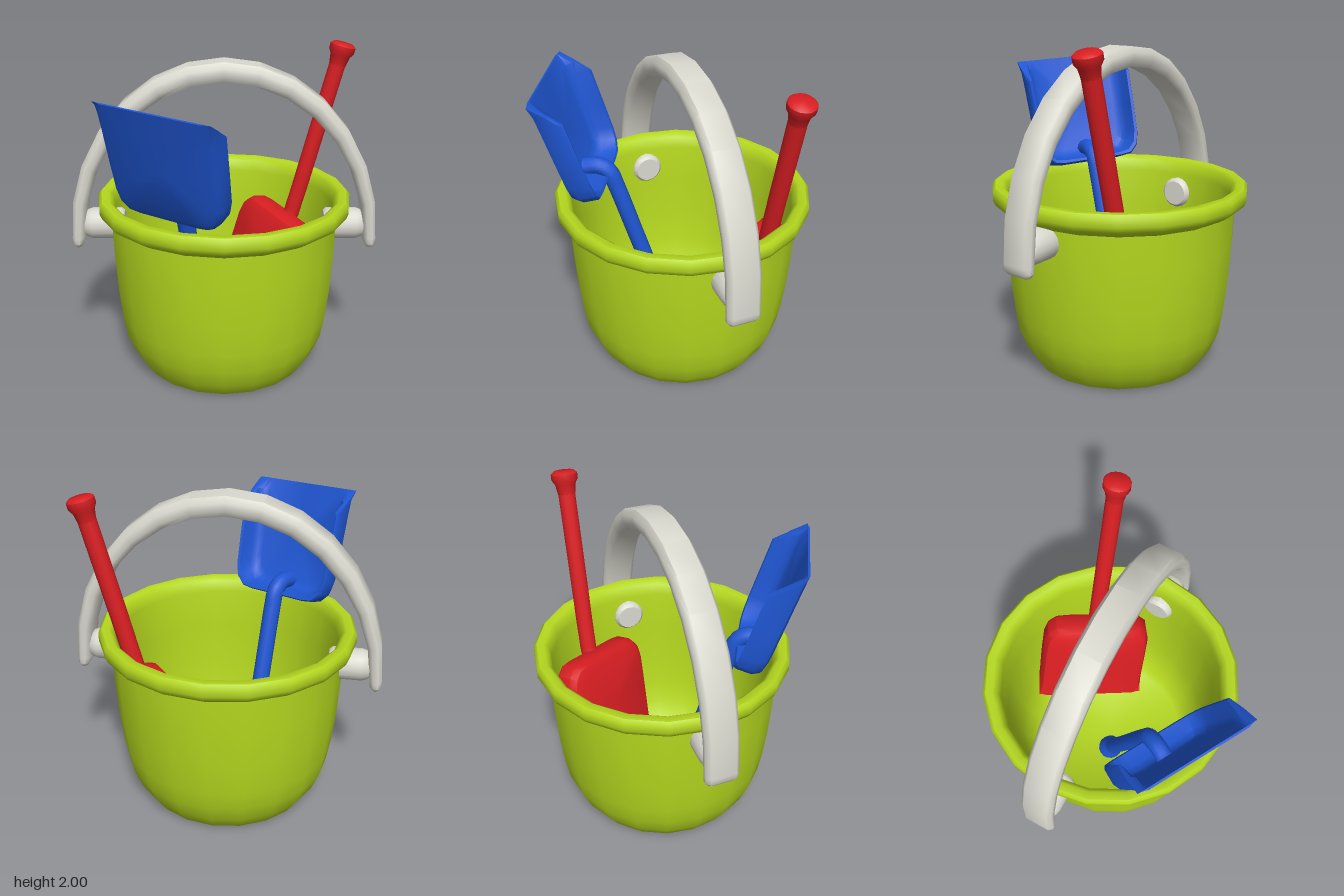
import * as THREE from 'three';
import { toCreasedNormals } from 'three/addons/utils/BufferGeometryUtils.js';

const material = (name, color) => {
  const m = new THREE.MeshStandardMaterial({ color });
  m.name = name;
  return m;
};

const part = (name, geometry, mat) => {
  const mesh = new THREE.Mesh(geometry, mat);
  mesh.name = name;
  return mesh;
};

// Skin a list of equal-length point loops and close both ends
function loft(rings, crease) {
  const n = rings[0].length, pos = [], idx = [];
  rings.forEach(r => r.forEach(p => pos.push(...p)));
  for (let k = 0; k < rings.length - 1; k++) {
    for (let i = 0; i < n; i++) {
      const a = k * n + i, b = k * n + (i + 1) % n;
      idx.push(a, b, a + n, b, b + n, a + n);
    }
  }
  const cap = (k, flip) => {
    const c = pos.length / 3;
    pos.push(...[0, 1, 2].map(j => rings[k].reduce((s, p) => s + p[j], 0) / n));
    for (let i = 0; i < n; i++) {
      const a = k * n + i, b = k * n + (i + 1) % n;
      idx.push(c, flip ? b : a, flip ? a : b);
    }
  };
  cap(0, true);
  cap(rings.length - 1, false);
  const g = new THREE.BufferGeometry();
  g.setAttribute('position', new THREE.Float32BufferAttribute(pos, 3));
  g.setIndex(idx);
  return toCreasedNormals(g, crease);
}

const lathe = (profile, sides, crease = 0.8) =>
  toCreasedNormals(new THREE.LatheGeometry(profile.map(p => new THREE.Vector2(...p)), sides), crease);

// Flat carrying handle bent along a half ellipse, thinner toward its ends
function handleGeometry() {
  const steps = 14, path = [];
  for (let i = 0; i <= steps; i++) {
    const a = Math.PI * i / steps, c = Math.cos(a), s = Math.sin(a);
    path.push({ x: 0.908 * c, y: 0.85 + 1.04 * s, a, h: 0.036 + 0.024 * s, w: 0.1 });
  }
  const end = (x, a) => [
    { x, y: 0.815, a, h: 0.034, w: 0.1 },
    { x, y: 0.79, a, h: 0.018, w: 0.08 },
  ];
  const all = [...end(0.91, 0).reverse(), ...path, ...end(-0.91, Math.PI)];
  const section = [[1, -0.4], [1, 0.4], [0.75, 1], [-0.75, 1], [-1, 0.4], [-1, -0.4], [-0.75, -1], [0.75, -1]];
  const rings = all.map(({ x, y, a, h, w }) => section.map(([u, v]) =>
    [x + Math.cos(a) * v * h, y + Math.sin(a) * v * h, u * w]));
  return loft(rings, 0.95);
}

// Scoop pan: tip edge at y = 0, back wall at y = -0.72, hollow toward -z
function panGeometry() {
  const half = [[-0.365, 0], [-0.362, -0.08], [-0.358, -0.16], [-0.352, -0.4], [-0.345, -0.58],
    [-0.325, -0.66], [-0.275, -0.71], [-0.2, -0.72]];
  const outline = [...half, ...half.map(([x, y]) => [-x, y]).reverse(), [0, 0]];
  const steps = [[0.1, 0.03], [0.065, 0.045], [0.045, 0.08], [0.025, 0.165], [0.008, 0.17],
    [0, 0.155], [0, 0.06], [0.018, 0.018], [0.06, 0]];
  const rings = steps.map(([inset, depth]) => outline.map(([x, y]) => {
    const wall = 0.012 + 0.16 * Math.min(1, -y / 0.16);
    return [x * (1 - inset / 0.365), y * (1 - inset / 0.72), -Math.min(depth, wall)];
  }));
  return loft(rings, 0.7);
}

// Toy shovel placed by its tip, its long axis and its width axis
function shovel(name, mat, tip, long, width) {
  const g = new THREE.Group();
  g.name = name;
  g.add(part('scoop', panGeometry(), mat));
  const curve = new THREE.CatmullRomCurve3([[-0.62, -0.03], [-0.635, -0.12], [-0.69, -0.172],
    [-0.8, -0.18], [-1.2, -0.18], [-1.8, -0.18]].map(([y, z]) => new THREE.Vector3(0, y, z)));
  g.add(part('shaft', new THREE.TubeGeometry(curve, 40, 0.053, 12), mat));
  const knob = part('knob', lathe([[0, -1.88], [0.062, -1.88], [0.08, -1.865], [0.08, -1.83],
    [0.062, -1.8], [0.052, -1.74]], 16), mat);
  knob.position.z = -0.18;
  g.add(knob);
  const X = new THREE.Vector3(...width).normalize();
  const Z = X.clone().cross(new THREE.Vector3(...long)).normalize();
  const Y = Z.clone().cross(X);
  g.quaternion.setFromRotationMatrix(new THREE.Matrix4().makeBasis(X, Y, Z));
  g.position.set(...tip);
  return g;
}

export function createModel() {
  const model = new THREE.Group();
  model.name = 'beachBucketSet';
  const lime = material('lime plastic', 0xb5d81f);
  const white = material('off-white plastic', 0xdad9cf);
  const red = material('red plastic', 0xd81e22);
  const blue = material('blue plastic', 0x1f56d2);

  const bucket = new THREE.Group();
  bucket.name = 'bucket';
  bucket.position.z = -0.06;
  model.add(bucket);

  // Bucket body with rolled rim and hollow inside
  bucket.add(part('bucketBody', lathe([
    [0, 0], [0.51, 0], [0.53, 0.01], [0.59, 0.1], [0.64, 0.22], [0.663, 0.35], [0.685, 0.55], [0.7, 0.8],
    [0.705, 1.0], [0.735, 1.018], [0.765, 1.04], [0.778, 1.07], [0.778, 1.12], [0.76, 1.14],
    [0.715, 1.14], [0.69, 1.12], [0.675, 1.05], [0.665, 0.8], [0.65, 0.55], [0.625, 0.33],
    [0.595, 0.2], [0.54, 0.09], [0.49, 0.04], [0, 0.04]], 20), lime));

  // Carrying handle and its two pivot pegs
  bucket.add(part('carryHandle', handleGeometry(), white));
  for (const side of [1, -1]) {
    const peg = part(side > 0 ? 'leftPeg' : 'rightPeg', lathe([
      [0, 0.62], [0.08, 0.62], [0.098, 0.64], [0.098, 0.82], [0.085, 0.86], [0.06, 0.885], [0, 0.885]], 16), white);
    peg.rotation.z = -side * Math.PI / 2;
    peg.position.y = 0.925;
    bucket.add(peg);
  }

  // One shovel stands scoop up, the other scoop down
  model.add(shovel('blueShovel', blue, [-0.39, 1.81, 0.665], [-0.1, 0.955, 0.28], [0.872, -0.055, 0.486]));
  model.add(shovel('redShovel', red, [0.128, 0.205, -0.307], [-0.265, -0.964, -0.02], [-0.54, 0.14, -0.83]));
  return model;
}
